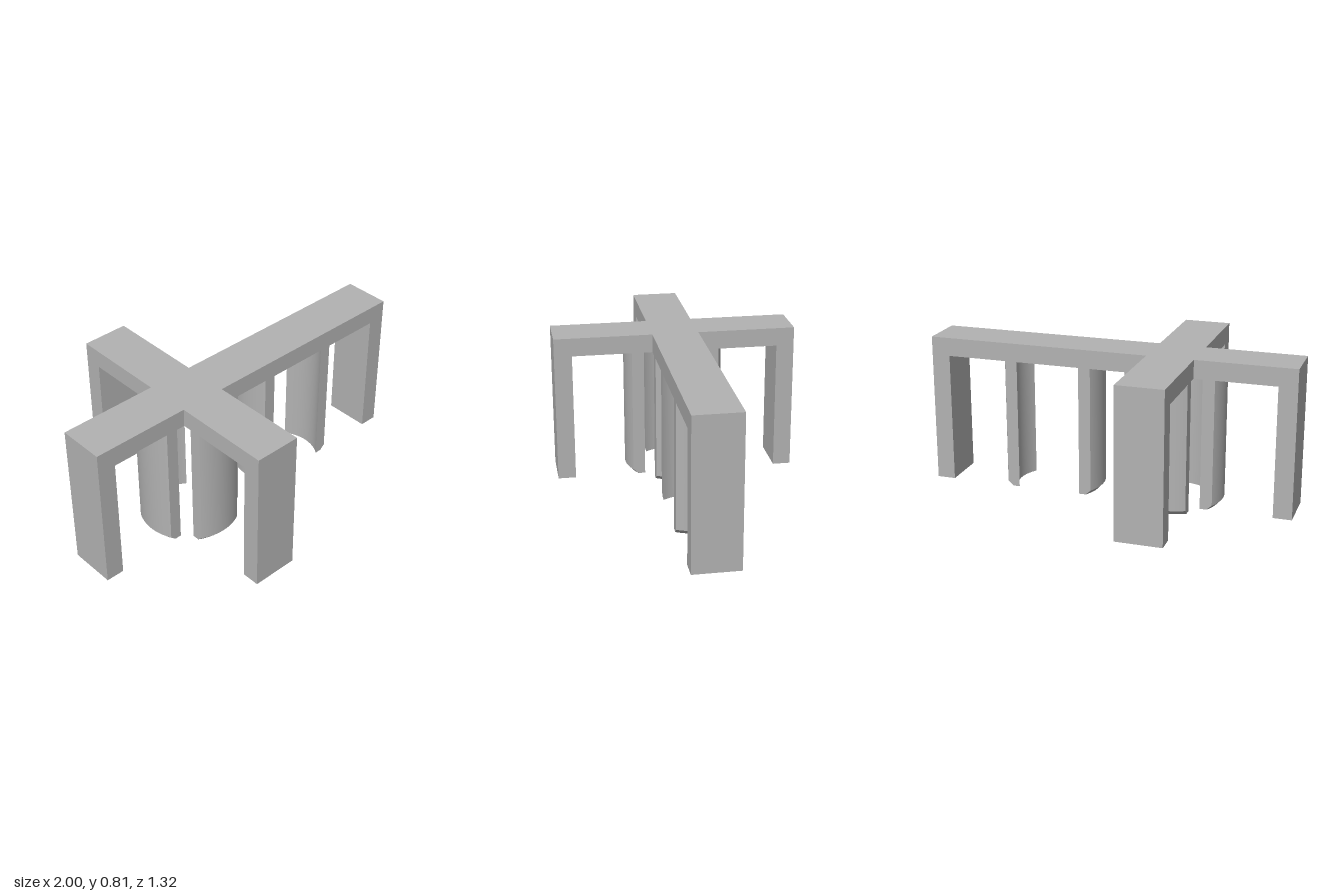
import * as THREE from 'three';
import { toCreasedNormals } from 'three/addons/utils/BufferGeometryUtils.js';

const HEIGHT = 0.81, SLAB = 0.1, HALF = 0.126; // total height, top thickness, half arm width
const UNDER = HEIGHT - SLAB;
const CROSS_X = -0.337, ARM_Z = 0.66;

// Curved clip: a ring sector cut off flat at z = +-HALF, with a chamfered outer foot
function clipGeometry() {
  const profile = [[0.2145, UNDER], [0.2145, 0], [0.246, 0], [0.27, 0.026], [0.27, UNDER]];
  const steps = 24, n = profile.length;
  const ring = [];
  for (let i = 0; i <= steps; i++) {
    const z = -HALF + (2 * HALF * i) / steps;
    ring.push(profile.map(([r, y]) => [Math.sqrt(r * r - z * z), y, z]));
  }
  const pos = [];
  const tri = (a, b, c) => pos.push(...a, ...b, ...c);
  for (let i = 0; i < steps; i++) {
    for (let j = 0; j < n; j++) {
      const k = (j + 1) % n;
      tri(ring[i][j], ring[i][k], ring[i + 1][k]);
      tri(ring[i][j], ring[i + 1][k], ring[i + 1][j]);
    }
  }
  // flat end faces
  for (let j = 1; j < n - 1; j++) {
    tri(ring[steps][0], ring[steps][j], ring[steps][j + 1]);
    tri(ring[0][0], ring[0][j + 1], ring[0][j]);
  }
  const geometry = new THREE.BufferGeometry();
  geometry.setAttribute('position', new THREE.Float32BufferAttribute(pos, 3));
  return toCreasedNormals(geometry, 0.5);
}

export function createModel() {
  const model = new THREE.Group();
  model.name = 'crossBracket';
  const grey = new THREE.MeshStandardMaterial({ color: 0xb2b2b2 });
  grey.name = 'grey';

  const add = (name, geometry, x, y, z) => {
    const mesh = new THREE.Mesh(geometry, grey);
    mesh.name = name;
    mesh.position.set(x, y, z);
    model.add(mesh);
    return mesh;
  };

  // Cross-shaped top plate
  const l = CROSS_X - HALF, r = CROSS_X + HALF;
  const outline = [
    [-1, -HALF], [l, -HALF], [l, -ARM_Z], [r, -ARM_Z], [r, -HALF], [1, -HALF],
    [1, HALF], [r, HALF], [r, ARM_Z], [l, ARM_Z], [l, HALF], [-1, HALF],
  ].map(([x, y]) => new THREE.Vector2(x, y));
  const plate = new THREE.ExtrudeGeometry(new THREE.Shape(outline), { depth: SLAB, bevelEnabled: false });
  plate.rotateX(-Math.PI / 2);
  add('topPlate', plate, 0, UNDER, 0);

  // Flat legs at the four arm ends
  const sideLeg = new THREE.BoxGeometry(0.1, UNDER, 2 * HALF);
  const crossLeg = new THREE.BoxGeometry(2 * HALF, UNDER, 0.097);
  add('leftLeg', sideLeg, 0.95, UNDER / 2, 0);
  add('rightLeg', sideLeg, -0.95, UNDER / 2, 0);
  add('frontLeg', crossLeg, CROSS_X, UNDER / 2, ARM_Z - 0.0485);
  add('backLeg', crossLeg, CROSS_X, UNDER / 2, -ARM_Z + 0.0485);

  // Curved clips: four around the crossing, two under the long arm
  const clip = clipGeometry();
  for (let i = 0; i < 4; i++) {
    add('crossingClip' + (i + 1), clip, CROSS_X, 0, 0).rotation.y = (i * Math.PI) / 2;
  }
  for (let i = 0; i < 2; i++) {
    add('armClip' + (i + 1), clip, 0.335, 0, 0).rotation.y = i * Math.PI;
  }
  return model;
}
